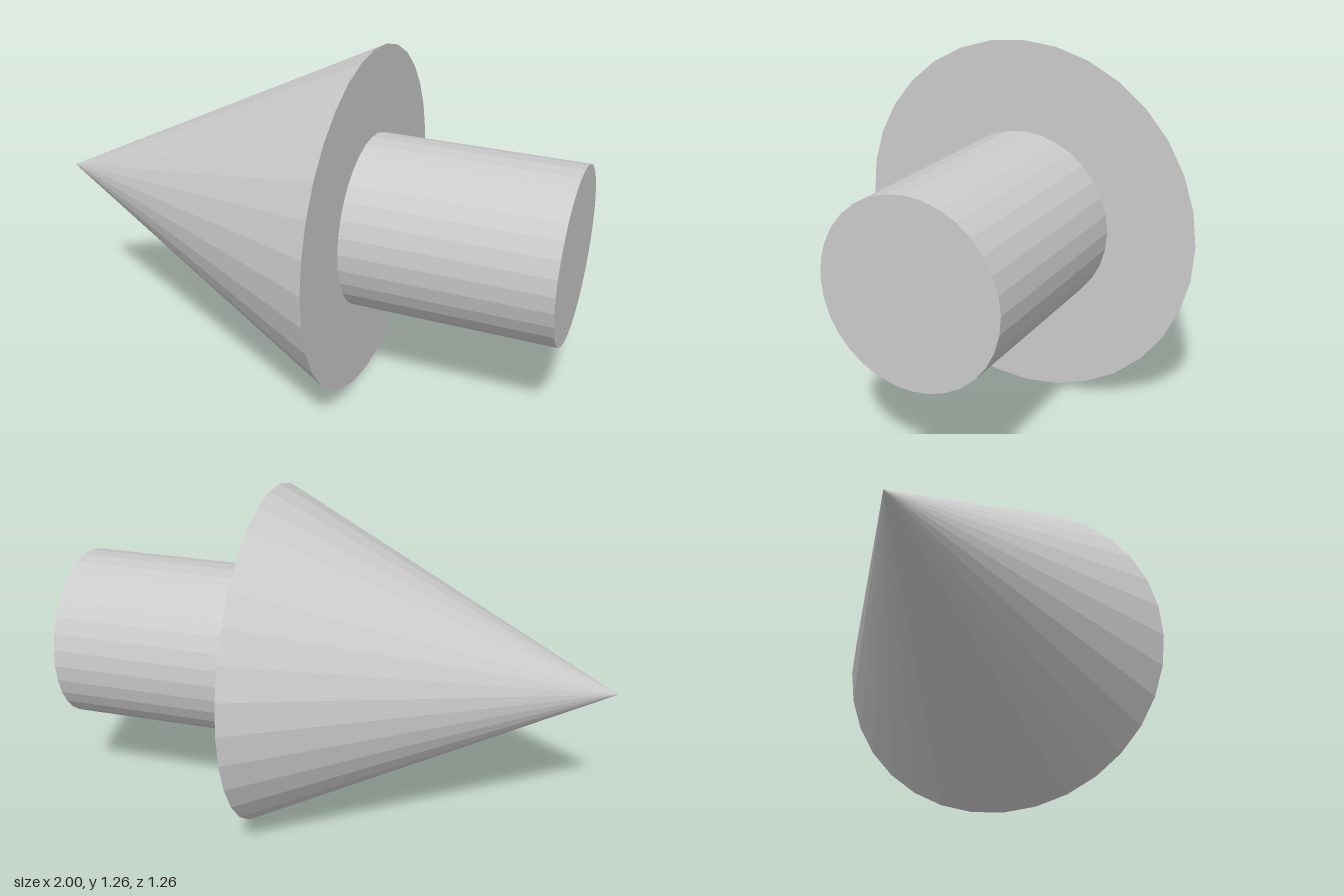
import * as THREE from 'three';

const SIDES = 32;
const RADIUS = 0.63;
const BASE_X = 0.26; // where the cone meets the shaft

export function createModel() {
  const group = new THREE.Group();
  group.name = 'arrow';
  const material = new THREE.MeshStandardMaterial({ color: 0xcccccc, flatShading: true });

  const add = (name, geometry, x) => {
    geometry.rotateZ(Math.PI / 2); // +y of the geometry turns to -x
    const mesh = new THREE.Mesh(geometry, material);
    mesh.name = name;
    mesh.position.set(x, RADIUS, 0);
    group.add(mesh);
  };

  // Pointed head, tip at x = -1
  const headLength = BASE_X + 1;
  add('head', new THREE.ConeGeometry(RADIUS, headLength, SIDES), BASE_X - headLength / 2);

  // Round shaft behind the head, ending at x = 1
  const shaftLength = 1 - BASE_X;
  add('shaft', new THREE.CylinderGeometry(RADIUS / 2, RADIUS / 2, shaftLength, SIDES), BASE_X + shaftLength / 2);

  return group;
}
